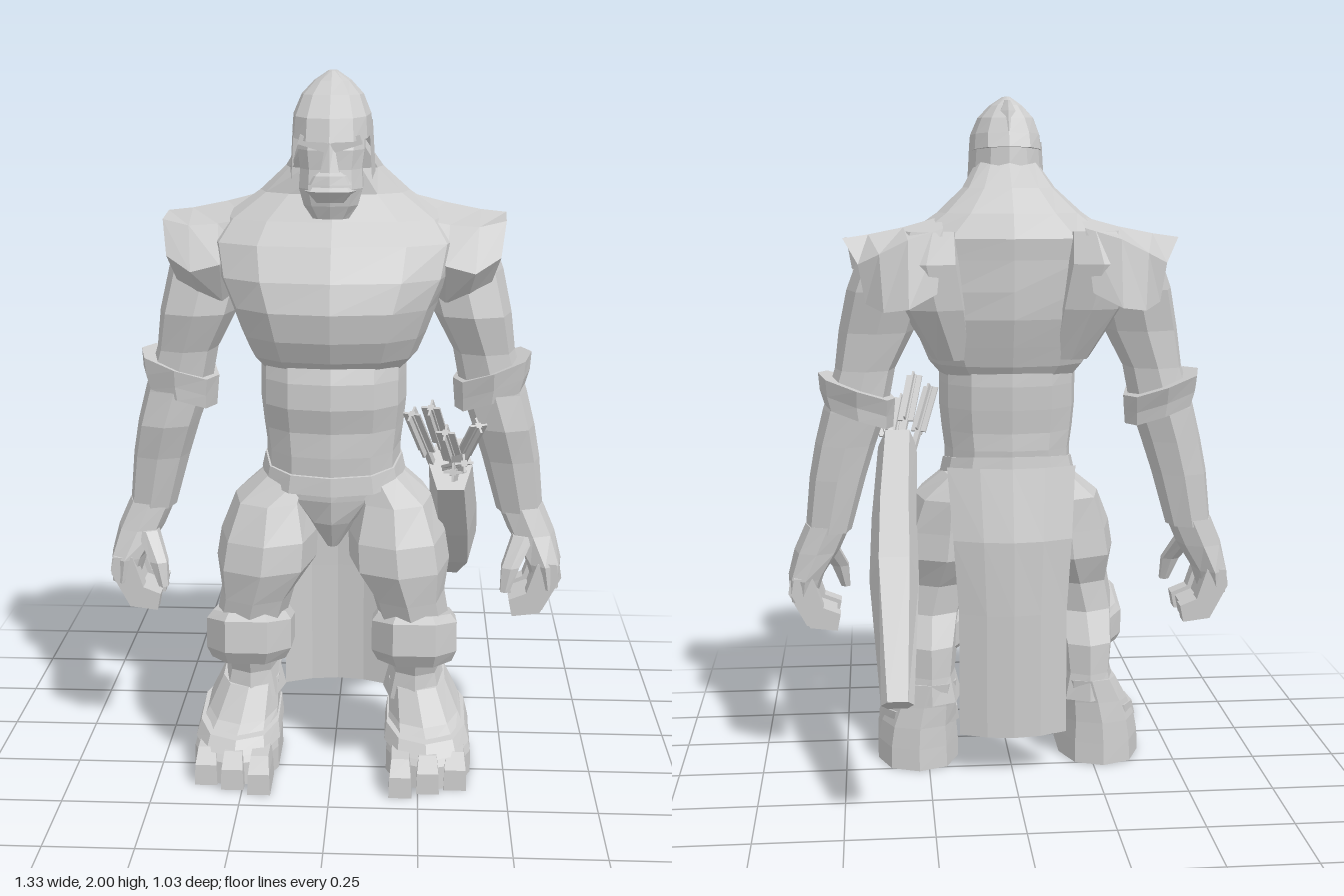
import * as THREE from 'three';

const stone = new THREE.MeshStandardMaterial({ color: 0xcccccc, side: THREE.DoubleSide });
stone.name = 'stone grey';

export function createModel() {
  const model = new THREE.Group();
  model.name = 'armouredBrute';

  const add = (name, geo) => {
    const flat = geo.index ? geo.toNonIndexed() : geo;
    flat.computeVertexNormals();
    const mesh = new THREE.Mesh(flat, stone);
    mesh.name = name;
    model.add(mesh);
    return mesh;
  };

  // Skin rows of points; closed rows wrap round, caps fill both ends
  const skin = (name, rows, closed) => {
    const n = rows[0].length, pos = [], idx = [];
    rows.forEach(r => r.forEach(p => pos.push(...p)));
    for (let i = 0; i < rows.length - 1; i++) {
      for (let j = 0; j < (closed ? n : n - 1); j++) {
        const k = (j + 1) % n, a = i * n + j, b = i * n + k;
        idx.push(a, b, b + n, a, b + n, a + n);
      }
    }
    if (closed) {
      const top = (rows.length - 1) * n;
      for (let j = 1; j < n - 1; j++) idx.push(0, j + 1, j, top, top + j, top + j + 1);
    }
    const geo = new THREE.BufferGeometry();
    geo.setAttribute('position', new THREE.Float32BufferAttribute(pos, 3));
    geo.setIndex(idx);
    return add(name, geo);
  };

  // Rings: [x, y, z, half width, half depth, rise along z, rise along x]
  const loft = (name, rings, n = 8, s = 1, power = 0.8, turn = 0) => {
    const round = v => Math.sign(v) * Math.abs(v) ** power;
    const list = rings[0][1] > rings.at(-1)[1] ? [...rings].reverse() : rings;
    return skin(name, list.map(([x, y, z, rx, rz, kz = 0, kx = 0]) =>
      Array.from({ length: n }, (_, j) => {
        const a = (j + turn) / n * Math.PI * 2;
        const dx = rx * round(Math.sin(a)), dz = rz * round(Math.cos(a));
        return [x * s + dx, y + kz * dz + kx * s * dx, z + dz];
      })), true);
  };

  const box = (name, x, y, z, w, h, d, rz = 0) => {
    const m = add(name, new THREE.BoxGeometry(w, h, d));
    m.position.set(x, y, z);
    m.rotation.z = rz;
  };

  // Bar between two points
  const bar = (name, a, b, w, h) => {
    const from = new THREE.Vector3(...a), to = new THREE.Vector3(...b);
    const m = add(name, new THREE.BoxGeometry(w, h, from.distanceTo(to)));
    m.position.copy(from).add(to).multiplyScalar(0.5);
    m.lookAt(to);
  };

  // Torso
  loft('pelvis', [[0, .68, .2, .02, .05], [0, .76, .16, .075, .14], [0, .83, .14, .15, .175], [0, .92, .14, .185, .18]], 10);
  loft('abdomen', [[0, .9, .15, .19, .18, -.15], [0, .97, .15, .19, .185, -.05], [0, 1.03, .15, .198, .182],
    [0, 1.1, .155, .205, .195], [0, 1.17, .15, .205, .195], [0, 1.24, .14, .205, .18]], 12);
  loft('belt', [[0, .89, .15, .205, .195, -.18], [0, .935, .15, .195, .19, -.15]], 12);
  loft('chest', [[0, 1.19, .14, .2, .17], [0, 1.23, .145, .235, .2], [0, 1.29, .15, .26, .225], [0, 1.37, .145, .29, .245],
    [0, 1.45, .13, .33, .235], [0, 1.54, .1, .35, .205], [0, 1.6, .07, .31, .18],
    [0, 1.67, .06, .21, .14], [0, 1.74, .09, .135, .11], [0, 1.82, .17, .085, .09]], 12);

  // Head inside an open-faced helmet
  loft('face', [[0, 1.62, .3, .05, .04], [0, 1.655, .285, .075, .07], [0, 1.7, .275, .088, .09], [0, 1.75, .265, .085, .09],
    [0, 1.8, .245, .092, .11], [0, 1.87, .22, .09, .1]], 10);
  loft('lowerLip', [[0, 1.665, .33, .045, .03], [0, 1.695, .335, .068, .048], [0, 1.705, .33, .06, .04]], 8);
  loft('upperLip', [[0, 1.712, .33, .065, .045], [0, 1.735, .33, .05, .04], [0, 1.75, .32, .03, .03]], 8);
  loft('nose', [[0, 1.745, .36, .028, .022], [0, 1.82, .345, .012, .015]], 6);
  loft('helmetDome', [[0, 1.84, .22, .108, .17, -.1], [0, 1.89, .22, .104, .15, -.05], [0, 1.94, .2, .083, .11],
    [0, 1.975, .19, .05, .075], [0, 2, .19, .012, .05]], 12);
  loft('helmetCrest', [[0, 1.9, .13, .035, .06], [0, 1.96, .13, .025, .035], [0, 1.99, .125, .008, .015]], 6);
  const cheekArc = (r, low) => Array.from({ length: 9 }, (_, j) => {
    const a = (68 + j * 28) * Math.PI / 180;
    const y = low ? 1.765 - .045 * Math.cos(a) - .035 * Math.sin(a) ** 2 : 1.87;
    return [r * Math.sin(a), y, .21 + r * 1.35 * Math.cos(a)];
  });
  skin('helmetGuard', [cheekArc(.116, true), cheekArc(.108, false)], false);

  for (const s of [1, -1]) {
    const side = s > 0 ? 'left' : 'right';
    box(side + 'Brow', s * .043, 1.818, .335, .08, .025, .05, s * .3);
    loft(side + 'ShoulderBlade', [[.17, 1.25, .02, .06, .07], [.22, 1.4, -.02, .1, .1],
      [.25, 1.53, -.04, .11, .105], [.23, 1.62, -.03, .08, .08]], 8, s);

    // Shoulder plate, draped from front to back, with a pointed outer edge
    const drape = [
      [[.27, 1.4, .17], [.31, 1.37, .17], [.37, 1.375, .17], [.43, 1.4, .14]],
      [[.25, 1.52, .21], [.31, 1.48, .23], [.39, 1.46, .235], [.46, 1.5, .2]],
      [[.24, 1.6, .17], [.32, 1.585, .165], [.4, 1.58, .17], [.475, 1.595, .15]],
      [[.2, 1.66, .02], [.31, 1.63, 0], [.41, 1.61, 0], [.483, 1.6, -.02]],
      [[.2, 1.63, -.1], [.3, 1.6, -.13], [.38, 1.56, -.12], [.44, 1.53, -.08]],
      [[.22, 1.45, -.14], [.3, 1.41, -.175], [.37, 1.4, -.15], [.42, 1.42, -.09]],
    ];
    skin(side + 'ShoulderPlate', drape.map(row => row.map(([x, y, z]) => [x * s, y, z])), false);

    // Arm, elbow guard and hand
    loft(side + 'Arm', [[.33, 1.57, .03, .1, .12], [.36, 1.45, .045, .115, .135], [.39, 1.33, .07, .11, .13],
      [.425, 1.22, .06, .088, .11], [.455, 1.1, .055, .095, .11], [.485, 1, .06, .09, .11],
      [.51, .9, .05, .083, .095], [.54, .74, .045, .068, .08]], 8, s);
    loft(side + 'ElbowGuard', [[.445, 1.08, .05, .1, .115, 0, .35], [.45, 1.12, .05, .108, .12, 0, .35],
      [.45, 1.17, .045, .112, .135, 0, .35]], 8, s, .7);
    loft(side + 'Palm', [[.54, .76, .045, .068, .08], [.575, .68, .055, .068, .09],
      [.61, .6, .07, .053, .11], [.62, .53, .075, .04, .1]], 8, s);
    const curl = new THREE.Shape([[.6, .6], [.655, .6], [.663, .55], [.61, .45], [.53, .44], [.52, .49], [.57, .51]]
      .map(([x, y]) => new THREE.Vector2(x * s, y)));
    for (let f = 0; f < 4; f++) {
      const finger = add(side + 'Finger' + (f + 1), new THREE.ExtrudeGeometry(curl, { depth: .05, bevelEnabled: false }));
      finger.position.set(f % 3 ? 0 : -s * .012, f % 3 ? 0 : .008, -.03 + f * .05);
    }
    loft(side + 'Thumb', [[.55, .68, .11, .035, .035], [.51, .6, .165, .028, .03], [.495, .53, .18, .015, .02]], 6, s);

    // Leg, knee band and boot
    loft(side + 'Leg', [[.13, .89, .16, .065, .13], [.175, .82, .175, .105, .165], [.182, .72, .2, .138, .19],
      [.19, .64, .205, .143, .2], [.215, .55, .22, .105, .165], [.235, .46, .21, .1, .155],
      [.24, .37, .13, .085, .135], [.24, .28, .11, .075, .12], [.24, .2, .11, .095, .13]], 8, s);
    loft(side + 'KneeBand', [[.237, .35, .225, .112, .15, .12], [.235, .38, .23, .128, .17, .18],
      [.235, .46, .225, .128, .165, .25], [.235, .48, .215, .11, .15, .25]], 8, s, .8, .5);
    loft(side + 'Boot', [[.28, 0, .18, .128, .21], [.28, .065, .18, .127, .205], [.277, .12, .165, .118, .185, -.05],
      [.265, .17, .14, .105, .155, -.15], [.245, .25, .11, .085, .125, -.1]], 10, s);
    loft(side + 'InstepStrap', [[.275, .105, .19, .128, .19, -.1], [.272, .15, .17, .118, .18, -.15]], 10, s);
    // Blunt sloping toes, stepping back towards the outside
    for (let t = 0; t < 3; t++)
      loft(side + 'Toe' + (t + 1), [[.2 + t * .078, 0, .35 - t * .025, .043, .085],
        [.2 + t * .078, .06, .35 - t * .025, .04, .08], [.2 + t * .078, .1, .33 - t * .025, .033, .06]], 4, s, .8, .5)
        .scale.z = 1.06;
  }

  // Long cloth hanging behind
  const clothRow = (y, w, z) => [-1, -.5, 0, .5, 1].map(t => [t * w, y, z - .045 * (1 - t * t)]);
  skin('backCloth', [clothRow(.125, .16, -.06), clothRow(.5, .16, -.06), clothRow(.72, .175, -.055),
    clothRow(.93, .19, -.005)], false);

  // Quiver slung on the left hip
  const across = -1.35;
  loft('quiver', [[.35, .375, -.485, .045, .035, -.65], [.35, .62, -.1, .072, .068, across],
    [.345, .76, .09, .068, .062, across], [.33, .94, .29, .06, .05, across]], 6, 1, .7, .5);

  // Arrows fanning out of the quiver
  const tips = [[.22, 1.11, .4], [.27, 1.14, .45], [.31, 1.07, .44], [.36, 1, .49], [.4, 1.08, .4], [.33, .98, .51]];
  tips.forEach((tip, i) => {
    const base = [.3 + i % 3 * .03, .88 + (i % 2) * .03, .24];
    const mid = base.map((v, k) => v + (tip[k] - v) * .45);
    bar('arrowShaft' + (i + 1), base, tip, .016, .016);
    bar('arrowVane' + (i + 1), mid, tip, .05, .006);
    bar('arrowFin' + (i + 1), mid, tip, .006, .05);
  });

  return model;
}
